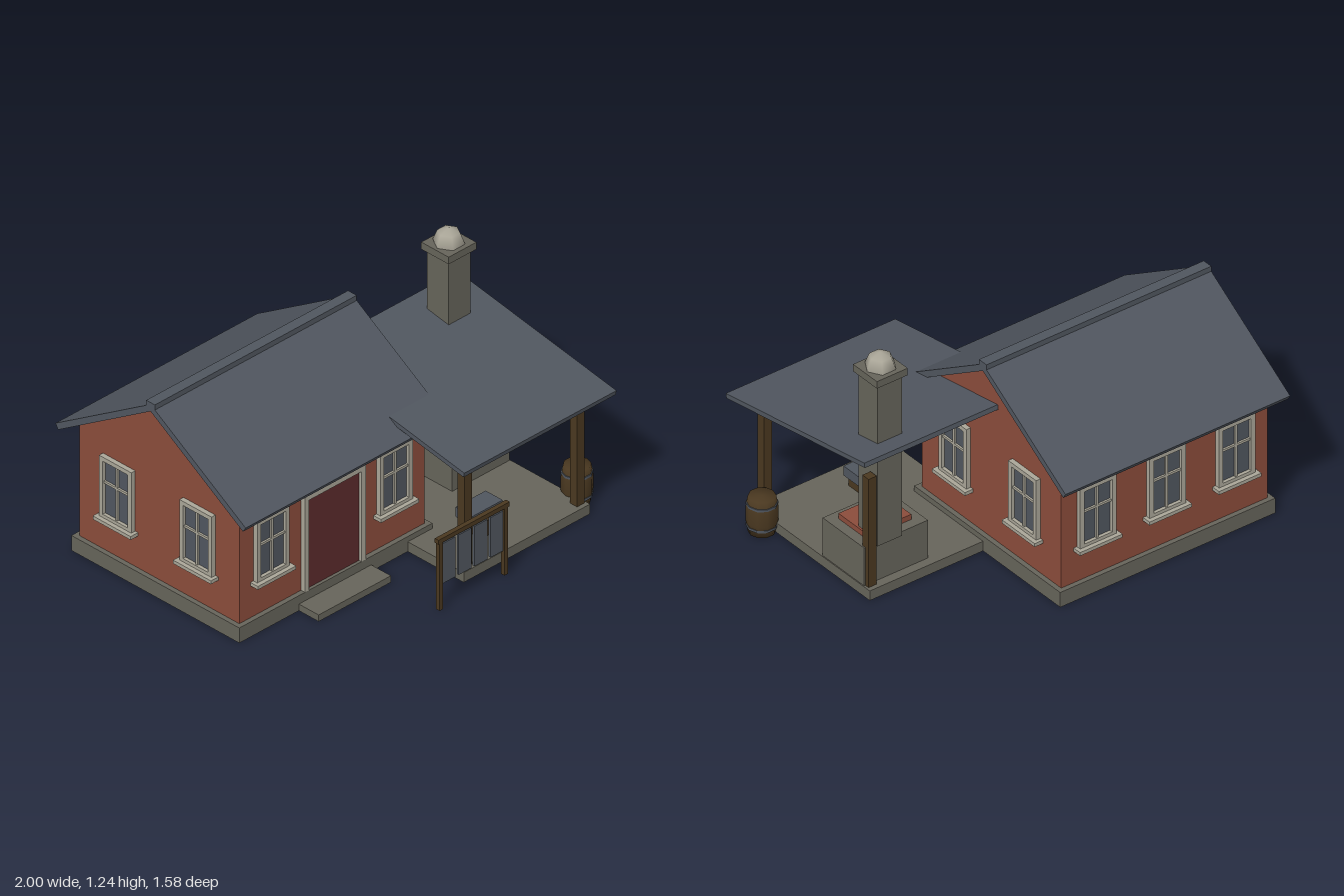
import * as THREE from 'three';

const mat = (name, color) => {
  const m = new THREE.MeshStandardMaterial({ color });
  m.name = name;
  return m;
};

export function createModel() {
  const brick = mat('red brick', 0x8b4c3b);
  const stone = mat('grey stone', 0x66645a);
  const slate = mat('slate', 0x50565f);
  const wood = mat('dark wood', 0x4a3820);
  const trim = mat('pale trim', 0xaaa698);
  const doorRed = mat('door red', 0x5c2b2c);
  const root = new THREE.Group();

  const add = (parent, name, geo, material) => {
    const m = new THREE.Mesh(geo, material);
    m.name = name;
    parent.add(m);
    return m;
  };
  // Box given by its min and max on each axis
  const box = (parent, name, material, x0, x1, y0, y1, z0, z1) => {
    const g = new THREE.BoxGeometry(x1 - x0, y1 - y0, z1 - z0);
    g.translate((x0 + x1) / 2, (y0 + y1) / 2, (z0 + z1) / 2);
    return add(parent, name, g, material);
  };
  // Profile of [z, y] points swept along x
  const sweepX = (parent, name, material, pts, x0, x1) => {
    const shape = new THREE.Shape(pts.map(([z, y]) => new THREE.Vector2(z, y)));
    const g = new THREE.ExtrudeGeometry(shape, { depth: x1 - x0, bevelEnabled: false });
    g.rotateY(-Math.PI / 2).translate(x1, 0, 0);
    return add(parent, name, g, material);
  };

  // House body
  const X0 = -0.945, X1 = 0.22, Z0 = -0.695, Z1 = 0.32, MID = -0.1875;
  const house = new THREE.Group();
  house.name = 'house';
  root.add(house);
  box(house, 'foundation', stone, X0 - 0.025, X1 + 0.025, 0, 0.08, Z0 - 0.025, Z1 + 0.025);
  sweepX(house, 'walls', brick,
    [[Z0, 0.08], [Z1, 0.08], [Z1, 0.685], [MID, 1.005], [Z0, 0.685]], X0, X1);

  // Gabled roof with a ridge cap
  for (const s of [1, -1]) {
    const pts = [[0, 1.04], [0, 1.003], [0.586, 0.633], [0.603, 0.66]];
    sweepX(house, 'roofSlope', slate, pts.map(([d, y]) => [MID + s * d, y]), -1, 0.27);
  }
  box(house, 'ridgeCap', slate, -1, 0.27, 1.012, 1.05, MID - 0.0275, MID + 0.0275);

  // Door and step
  const frame = new THREE.Shape([[-0.557, 0.08], [-0.53, 0.08], [-0.53, 0.56], [-0.2, 0.56],
    [-0.2, 0.08], [-0.172, 0.08], [-0.172, 0.588], [-0.557, 0.588]].map(p => new THREE.Vector2(...p)));
  const frameGeo = new THREE.ExtrudeGeometry(frame, { depth: 0.025, bevelEnabled: false });
  frameGeo.translate(0, 0, Z1);
  add(house, 'doorFrame', frameGeo, trim);
  box(house, 'door', doorRed, -0.53, -0.2, 0.08, 0.56, Z1, Z1 + 0.009);
  box(house, 'doorStep', stone, -0.595, -0.14, 0, 0.035, 0.345, 0.47);

  // Windows: built facing +z at the wall surface, then turned
  const rect = (T, w, y0, y1) => new T([[-w, y0], [w, y0], [w, y1], [-w, y1]]
    .map(p => new THREE.Vector2(...p)));
  const addWindow = (x, z, turn) => {
    const w = new THREE.Group();
    w.name = 'window';
    const s = rect(THREE.Shape, 0.102, 0.265, 0.59);
    s.holes.push(rect(THREE.Path, 0.079, 0.285, 0.568));
    add(w, 'windowFrame', new THREE.ExtrudeGeometry(s, { depth: 0.025, bevelEnabled: false }), trim);
    box(w, 'glass', slate, -0.079, 0.079, 0.285, 0.568, 0, 0.008);
    box(w, 'uprightBar', trim, -0.006, 0.006, 0.285, 0.568, 0.005, 0.018);
    box(w, 'crossBar', trim, -0.079, 0.079, 0.448, 0.46, 0.005, 0.018);
    box(w, 'sill', trim, -0.12, 0.12, 0.25, 0.268, 0, 0.047);
    w.position.set(x, 0, z);
    w.rotation.y = turn;
    house.add(w);
  };
  for (const x of [-0.755, 0.02]) addWindow(x, Z1, 0);
  for (const x of [-0.755, -0.3625, 0.03]) addWindow(x, Z0, Math.PI);
  for (const z of [0.067, -0.442]) {
    addWindow(X1, z, Math.PI / 2);
    addWindow(X0, z, -Math.PI / 2);
  }

  // Covered patio
  const patio = new THREE.Group();
  patio.name = 'patio';
  root.add(patio);
  box(patio, 'patioFloor', stone, 0.09, 0.885, 0, 0.052, -0.157, 0.7);
  for (const [x, z] of [[0.142, 0.653], [0.85, 0.653], [0.85, -0.11]])
    box(patio, 'post', wood, x - 0.023, x + 0.023, 0.05, 0.638, z - 0.023, z + 0.023);
  sweepX(patio, 'patioRoof', slate,
    [[0.773, 0.629], [0.778, 0.653], [-0.232, 0.823], [-0.236, 0.799]].reverse(), 0.016, 0.974);

  // Forge hearth and chimney
  box(patio, 'hearth', stone, 0.52, 0.88, 0.05, 0.257, -0.11, 0.193);
  box(patio, 'fireBed', brick, 0.575, 0.828, 0.257, 0.285, -0.06, 0.145);
  box(patio, 'chimney', stone, 0.68, 0.818, 0.25, 1.125, -0.128, 0.01);
  box(patio, 'chimneyCap', stone, 0.662, 0.836, 1.122, 1.16, -0.146, 0.028);
  const dome = add(patio, 'chimneyDome', new THREE.SphereGeometry(0.075, 6, 4), trim);
  dome.position.set(0.749, 1.165, -0.059);

  // Anvil on its block
  box(patio, 'anvilBlock', wood, 0.34, 0.45, 0.05, 0.132, 0.42, 0.56);
  box(patio, 'anvil', slate, 0.3, 0.49, 0.132, 0.183, 0.436, 0.544);

  // Barrel with hoops
  const barrel = new THREE.Group();
  barrel.name = 'barrel';
  barrel.position.set(0.926, 0, 0.576);
  root.add(barrel);
  const profile = [[0, 0], [0.064, 0], [0.074, 0.06], [0.074, 0.13], [0.064, 0.19], [0, 0.19]];
  const staves = new THREE.LatheGeometry(profile.map(p => new THREE.Vector2(...p)), 10);
  staves.rotateY(Math.PI / 10);
  add(barrel, 'staves', staves, wood);
  for (const y of [0.038, 0.152]) {
    const hoop = new THREE.CylinderGeometry(0.074, 0.074, 0.012, 10);
    hoop.rotateY(Math.PI / 10).translate(0, y, 0);
    add(barrel, 'hoop', hoop, slate);
  }

  // Rack with hanging plates
  const rack = new THREE.Group();
  rack.name = 'rack';
  root.add(rack);
  for (const x of [-0.139, 0.269])
    box(rack, 'rackPost', wood, x - 0.011, x + 0.011, 0, 0.37, 0.767, 0.789);
  box(rack, 'rackRail', wood, -0.158, 0.29, 0.357, 0.38, 0.766, 0.79);
  for (let i = 0; i < 4; i++) {
    const x = -0.085 + i * 0.1;
    box(rack, 'hangingPlate', slate, x - 0.04, x + 0.04, 0.132, 0.345, 0.772, 0.784);
  }
  return root;
}
